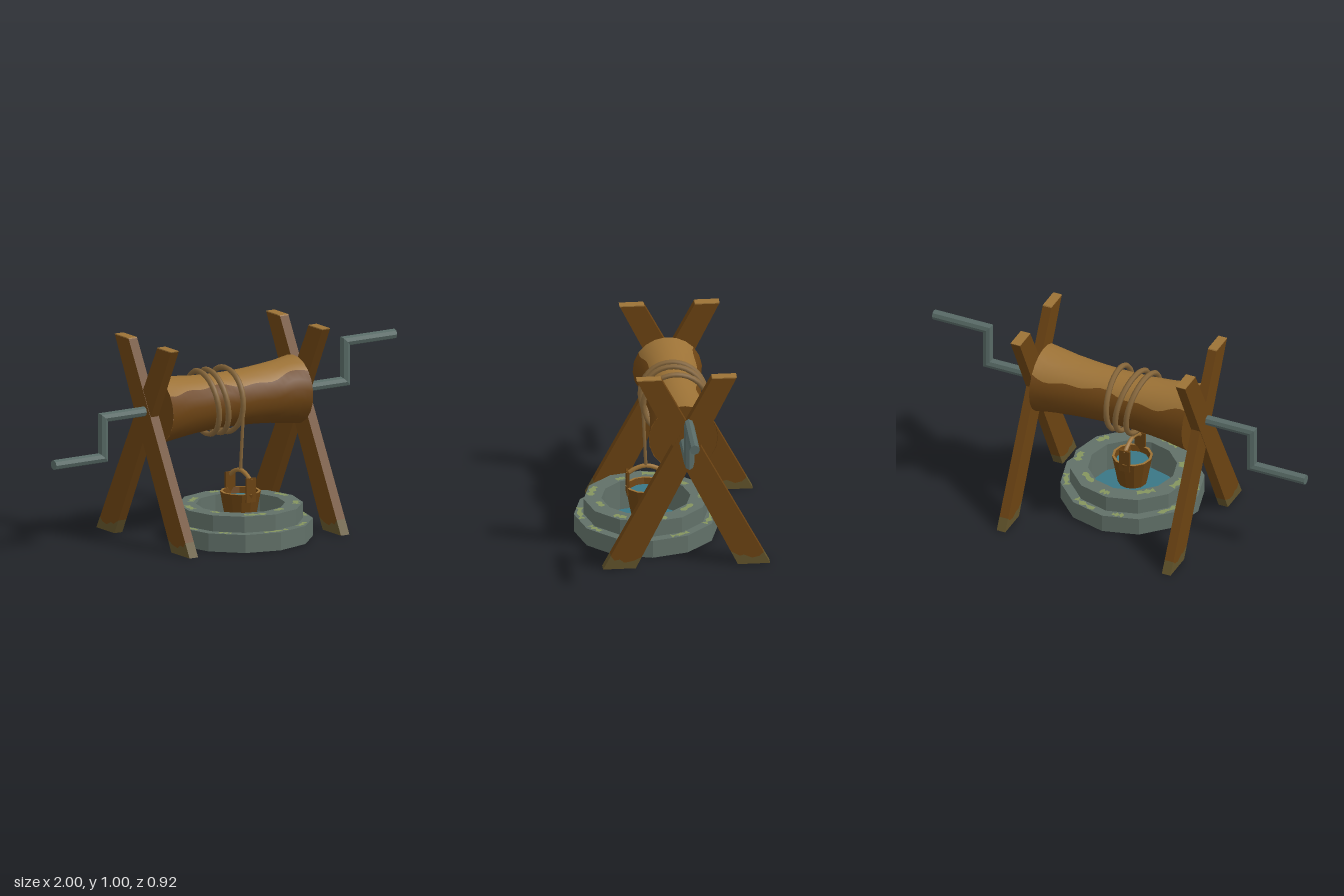
import * as THREE from 'three';
import { ParametricGeometry } from 'three/addons/geometries/ParametricGeometry.js';

const mat = (name, color, flatShading = true) => {
  const m = new THREE.MeshStandardMaterial({ color, flatShading, side: THREE.DoubleSide });
  m.name = name;
  return m;
};

const AXIS_Y = 0.66, AXIS_Z = -0.038, WELL_Z = 0.106;

export function createModel() {
  const M = {
    wood: mat('dark wood', 0x6a4212),
    pale: mat('pale wood', 0x9c7236, false),
    drum: mat('drum wood', 0x6c4313, false),
    damp: mat('damp wood', 0x60522a),
    rope: mat('rope', 0x86663a, false),
    stone: mat('stone', 0x617068),
    iron: mat('iron', 0x586a66),
    moss: mat('moss', 0x84945e),
    water: mat('water', 0x3a7685),
  };
  const model = new THREE.Group();
  model.name = 'wellWindlass';
  const add = (name, geo, material, parent = model) => {
    const mesh = new THREE.Mesh(geo, material);
    mesh.name = name;
    parent.add(mesh);
    return mesh;
  };

  // Crossed legs: a (z, y) outline given thickness along x
  const slab = (pts, thick, x) => {
    const shape = new THREE.Shape(pts.map(([z, y]) => new THREE.Vector2(z, y)));
    const g = new THREE.ExtrudeGeometry(shape, { depth: thick, bevelEnabled: false });
    return g.rotateY(-Math.PI / 2).translate(x + thick / 2, 0, 0);
  };
  const legs = [
    { name: 'forwardLeg', low: [0.2, 0.36], high: [-0.295, -0.175], thick: 0.05 },
    { name: 'rearLeg', low: [-0.458, -0.3], high: [0.075, 0.195], thick: 0.046 },
  ];
  for (const side of [1, -1]) {
    const frame = new THREE.Group();
    frame.name = side > 0 ? 'leftFrame' : 'rightFrame';
    model.add(frame);
    for (const { name, low, high, thick } of legs) {
      // point at fraction t across the leg's width, at height y
      const at = (t, y) => [
        THREE.MathUtils.lerp(
          THREE.MathUtils.lerp(low[0], high[0], y),
          THREE.MathUtils.lerp(low[1], high[1], y), t), y];
      const edge = [[0, 0.06], [0.2, 0.04], [0.45, 0.032], [0.65, 0.05], [0.8, 0.045], [1, 0.07]]
        .map(([t, y]) => at(t, y));
      const x = side * 0.444;
      add(name, slab([...edge, at(1, 0.995), at(0, 0.995)], thick, x), M.wood, frame);
      add(name + 'Foot', slab([at(0, 0), at(1, 0), ...[...edge].reverse()], thick, x), M.damp, frame);
      add(name + 'EndGrain', slab([at(0, 0.995), at(1, 0.995), at(1, 1), at(0, 1)], thick, x), M.pale, frame);
    }
  }

  // Waisted drum in two sectors with a wavy border between worn top and dark underside
  const radiusAt = x => 0.135 + 0.035 * (x / 0.41) ** 2;
  const wave = x => 0.1 * Math.sin(x * 13) + 0.06 * Math.sin(x * 31 + 1);
  const front = x => 0.85 + wave(x);
  const back = x => -0.95 + wave(x + 2);
  const sector = (from, to, n) => new ParametricGeometry((u, v, p) => {
    const x = (v - 0.5) * 0.82, r = radiusAt(x);
    const a = THREE.MathUtils.lerp(from(x), to(x), u);
    p.set(x, AXIS_Y + r * Math.cos(a), AXIS_Z + r * Math.sin(a));
  }, n, 28);
  add('drumTop', sector(front, back, 6), M.pale);
  add('drumUnderside', sector(x => back(x) + Math.PI * 2, front, 14), M.drum);
  for (const s of [1, -1]) {
    add('drumEnd', new THREE.CircleGeometry(0.168, 20).rotateY(s * Math.PI / 2)
      .translate(s * 0.409, AXIS_Y, AXIS_Z), M.wood);
  }

  // Crank handles: a column bent along a mitred path
  const r = 0.025;
  const path = [[0.4, 0, 0, r], [0.71, 0, -r, r], [0.71, 0.2, -r, r], [1, 0.2, 0, r]];
  const crank = () => {
    const g = new THREE.CylinderGeometry(1, 1, 1, 8, 3).toNonIndexed();
    const p = g.attributes.position;
    for (let i = 0; i < p.count; i++) {
      const [x, y, nx, ny] = path[Math.round((p.getY(i) + 0.5) * 3)];
      const c = p.getX(i);
      p.setXYZ(i, x + nx * c, y + ny * c, -r * p.getZ(i));
    }
    g.computeVertexNormals();
    return g;
  };
  add('leftCrank', crank(), M.iron).position.set(0, AXIS_Y, AXIS_Z);
  const rightCrank = add('rightCrank', crank(), M.iron);
  rightCrank.position.set(0, AXIS_Y, AXIS_Z);
  rightCrank.rotation.z = Math.PI;

  // Rope coils, slanted round the drum, and the hanging length
  for (const [x, slant] of [[-0.122, 0.02], [-0.066, 0.022], [0.004, -0.005]]) {
    const pts = [];
    for (let i = 0; i < 16; i++) {
      const a = i / 16 * Math.PI * 2;
      pts.push(new THREE.Vector3(x - slant * (Math.cos(a) + 0.7 * Math.sin(a)),
        AXIS_Y + 0.158 * Math.cos(a), AXIS_Z + 0.158 * Math.sin(a)));
    }
    const loop = new THREE.CatmullRomCurve3(pts, true);
    add('ropeCoil', new THREE.TubeGeometry(loop, 32, 0.014, 6, true), M.rope);
  }
  const drop = new THREE.LineCurve3(new THREE.Vector3(0.008, 0.66, 0.122), new THREE.Vector3(0, 0.33, WELL_Z));
  add('hangingRope', new THREE.TubeGeometry(drop, 1, 0.009, 6), M.rope);

  // Stepped stone well, open underneath
  const lathe = (pts, n) => new THREE.LatheGeometry(pts.map(([x, y]) => new THREE.Vector2(x, y)), n);
  const well = new THREE.Group();
  well.name = 'well';
  well.position.z = WELL_Z;
  model.add(well);
  add('stoneRing', lathe([[0.353, 0], [0.353, 0.09], [0.305, 0.09], [0.305, 0.17],
    [0.218, 0.17], [0.218, 0.02]], 12), M.stone, well);
  add('wellWater', new THREE.CircleGeometry(0.218, 12).rotateX(-Math.PI / 2).translate(0, 0.02, 0), M.water, well);

  // Moss patches on both steps
  const moss = (inner, outer, y, start, length, seed) => {
    const g = new THREE.RingGeometry(inner, outer, 5, 1, start, length);
    const p = g.attributes.position;
    for (let i = 0; i < p.count; i++) {
      const k = 1 + 0.03 * Math.sin(i * 2.7 + seed);
      p.setXY(i, p.getX(i) * k, p.getY(i) * k);
    }
    add('mossPatch', g.rotateX(-Math.PI / 2).translate(0, y, 0), M.moss, well);
  };
  for (let i = 0; i < 9; i++) {
    const a = i * Math.PI * 2 / 9, k = 0.3 + 0.12 * Math.sin(i * 2.3);
    if (i % 2) moss(0.228, 0.255, 0.172, a, k, i);
    else moss(0.256, 0.285, 0.172, a, k, i);
    moss(0.312, 0.334, 0.092, a + 0.3, k, i + 4);
  }

  // Bucket with two uprights and a bowed handle
  const bucket = new THREE.Group();
  bucket.name = 'bucket';
  bucket.position.z = WELL_Z;
  model.add(bucket);
  add('bucketBody', lathe([[0, 0.08], [0.072, 0.08], [0.1, 0.23], [0.088, 0.23], [0.08, 0.19]], 12), M.wood, bucket);
  add('bucketRim', new THREE.RingGeometry(0.088, 0.1, 12).rotateX(-Math.PI / 2).translate(0, 0.232, 0), M.pale, bucket);
  add('bucketWater', new THREE.CircleGeometry(0.083, 12).rotateX(-Math.PI / 2).translate(0, 0.2, 0), M.water, bucket);
  for (const s of [1, -1]) {
    add('bucketUpright', new THREE.BoxGeometry(0.056, 0.12, 0.012).translate(0, 0.25, s * 0.09), M.wood, bucket);
  }
  const bow = new THREE.CatmullRomCurve3([[-0.092, 0.295], [-0.055, 0.32], [0, 0.335], [0.055, 0.32], [0.092, 0.295]]
    .map(([z, y]) => new THREE.Vector3(0, y, z)));
  add('bucketHandle', new THREE.TubeGeometry(bow, 12, 0.011, 6), M.pale, bucket);
  return model;
}
